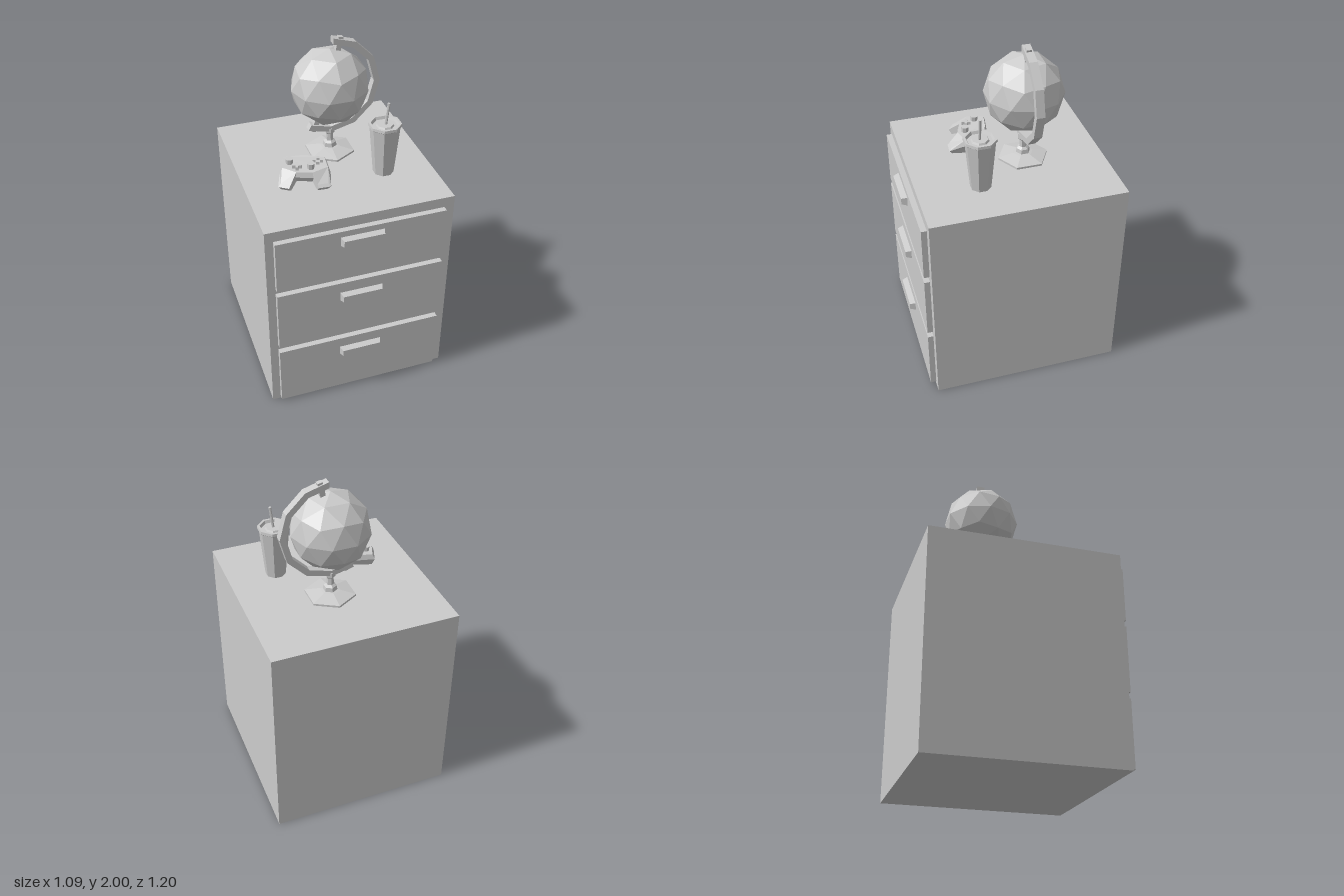
import * as THREE from 'three';

const material = new THREE.MeshStandardMaterial({ color: 0xcccccc, flatShading: true });

function add(parent, name, geometry, x = 0, y = 0, z = 0) {
  const mesh = new THREE.Mesh(geometry, material);
  mesh.name = name;
  mesh.position.set(x, y, z);
  parent.add(mesh);
  return mesh;
}

function group(parent, name, x = 0, y = 0, z = 0) {
  const g = new THREE.Group();
  g.name = name;
  g.position.set(x, y, z);
  parent.add(g);
  return g;
}

const lathe = (points, sides) =>
  new THREE.LatheGeometry(points.map(([r, y]) => new THREE.Vector2(r, y)), sides);

// Box whose front (+z) face is scaled down
function taperedBox(w, h, d, sx, sy) {
  const geometry = new THREE.BoxGeometry(w, h, d);
  const p = geometry.attributes.position;
  for (let i = 0; i < p.count; i++) {
    if (p.getZ(i) > 0) p.setXY(i, p.getX(i) * sx, p.getY(i) * sy);
  }
  geometry.computeVertexNormals();
  return geometry;
}

function buildCabinet(parent) {
  const cabinet = group(parent, 'cabinet');
  add(cabinet, 'cabinetBody', new THREE.BoxGeometry(1.09, 1.27, 1.13), 0, 0.635, -0.035);
  // bottom, top and handle height of each drawer
  for (const [y0, y1, yHandle] of [[0.02, 0.413, 0.32], [0.45, 0.843, 0.747], [0.88, 1.208, 1.143]]) {
    add(cabinet, 'drawerFront', new THREE.BoxGeometry(0.985, y1 - y0, 0.035), -0.005, (y0 + y1) / 2, 0.5455);
    add(cabinet, 'drawerHandle', taperedBox(0.255, 0.057, 0.037, 0.91, 0.68), -0.005, yHandle, 0.5785);
  }
}

function buildGlobe(parent) {
  const globe = group(parent, 'globe', 0.04, 0, -0.145);
  const yBall = 1.7;

  // Ball with one corner pointing straight up
  const ball = new THREE.IcosahedronGeometry(0.229, 1);
  ball.rotateZ(Math.atan(2 / (1 + Math.sqrt(5))));
  ball.rotateY(Math.PI / 2);
  add(globe, 'globeBall', ball, 0, yBall, 0);

  // Curved arm of straight segments
  const angles = [-117, -90, -60, -30, 0, 30, 60, 87].map(THREE.MathUtils.degToRad);
  const ring = (r) => angles.map((a) => new THREE.Vector2(r * Math.cos(a), r * Math.sin(a)));
  const outline = new THREE.Shape([...ring(0.296), ...ring(0.26).reverse()]);
  const arm = new THREE.ExtrudeGeometry(outline, { depth: 0.048, bevelEnabled: false });
  add(globe, 'globeArm', arm, 0, yBall, -0.024);

  // Pins that hold the ball in the arm
  for (const degrees of [78, -110]) {
    const a = THREE.MathUtils.degToRad(degrees);
    const pin = add(globe, 'globePin', new THREE.BoxGeometry(0.09, 0.03, 0.03),
      0.255 * Math.cos(a), yBall + 0.255 * Math.sin(a), 0);
    pin.rotation.z = a;
  }

  // Hexagonal foot and column
  add(globe, 'globeStand', lathe([
    [0, 1.27], [0.148, 1.27], [0.148, 1.282], [0.06, 1.302], [0.042, 1.305], [0.038, 1.33],
    [0.022, 1.342], [0.02, 1.385], [0.03, 1.395], [0.03, 1.425], [0, 1.425],
  ], 6));
}

function buildCup(parent) {
  const cup = group(parent, 'cup', 0.26, 0, 0.17);
  const body = add(cup, 'cupBody', lathe([
    [0, 1.27], [0.06, 1.27], [0.087, 1.565], [0.096, 1.572], [0.094, 1.588], [0.08, 1.588],
    [0.072, 1.572], [0.052, 1.572], [0.046, 1.582], [0, 1.582],
  ], 8));
  body.rotation.y = Math.PI / 8;
  const straw = add(cup, 'straw', new THREE.CylinderGeometry(0.008, 0.008, 0.15, 6), 0.009, 1.636, 0.003);
  straw.rotation.z = -0.11;
}

// Faceted gamepad shell: three rings joined by strips, capped by a body and two grips
function gamepadShell() {
  // x, z, top, middle and bottom height
  const corners = [
    [-0.295, -0.01, 1.37, 1.34, 1.3], [-0.17, 0.013, 1.375, 1.345, 1.31], [-0.05, 0.07, 1.37, 1.34, 1.3],
    [-0.06, 0.175, 1.365, 1.33, 1.275], [-0.085, 0.262, 1.31, 1.295, 1.27],
    [-0.155, 0.257, 1.31, 1.295, 1.27], [-0.168, 0.2, 1.36, 1.33, 1.3],
    [-0.263, 0.165, 1.36, 1.33, 1.3], [-0.314, 0.21, 1.31, 1.295, 1.27],
    [-0.367, 0.175, 1.31, 1.295, 1.27], [-0.335, 0.095, 1.365, 1.33, 1.275],
  ];
  const n = corners.length;
  const positions = [];
  [0.9, 1, 0.88].forEach((s, k) => {
    for (const c of corners) positions.push(-0.19 + (c[0] + 0.19) * s, c[2 + k], 0.1 + (c[1] - 0.1) * s);
  });
  const index = [];
  for (let k = 0; k < 2; k++) {
    for (let i = 0; i < n; i++) {
      const j = (i + 1) % n;
      const up = k * n, low = up + n;
      index.push(low + j, low + i, up + i, low + j, up + i, up + j);
    }
  }
  for (const face of [[0, 1, 2, 3, 6, 7, 10], [3, 4, 5, 6], [7, 8, 9, 10]]) {
    for (let i = 1; i < face.length - 1; i++) {
      const [a, b, c] = [face[0], face[i], face[i + 1]];
      index.push(a, c, b, 2 * n + a, 2 * n + b, 2 * n + c);
    }
  }
  const geometry = new THREE.BufferGeometry();
  geometry.setAttribute('position', new THREE.Float32BufferAttribute(positions, 3));
  geometry.setIndex(index);
  geometry.computeVertexNormals();
  return geometry;
}

function buildGamepad(parent) {
  const gamepad = group(parent, 'gamepad');
  add(gamepad, 'gamepadShell', gamepadShell());
  const turn = -0.33;

  for (const [x, z] of [[-0.268, 0.064], [-0.167, 0.146]]) {
    add(gamepad, 'thumbstick', new THREE.CylinderGeometry(0.023, 0.02, 0.035, 8), x, 1.378, z);
  }

  const pad = group(gamepad, 'directionPad', -0.24, 1.372, 0.12);
  pad.rotation.y = turn;
  add(pad, 'padBarAcross', new THREE.BoxGeometry(0.054, 0.022, 0.016));
  add(pad, 'padBarAlong', new THREE.BoxGeometry(0.016, 0.022, 0.054));

  const buttons = group(gamepad, 'buttons', -0.112, 1.372, 0.102);
  buttons.rotation.y = turn;
  for (const [x, z] of [[1, 0], [-1, 0], [0, 1], [0, -1]]) {
    add(buttons, 'button', new THREE.BoxGeometry(0.018, 0.024, 0.018), x * 0.021, 0, z * 0.021);
  }
}

export function createModel() {
  const model = new THREE.Group();
  model.name = 'drawerCabinetWithGlobe';
  buildCabinet(model);
  buildGlobe(model);
  buildCup(model);
  buildGamepad(model);
  return model;
}
